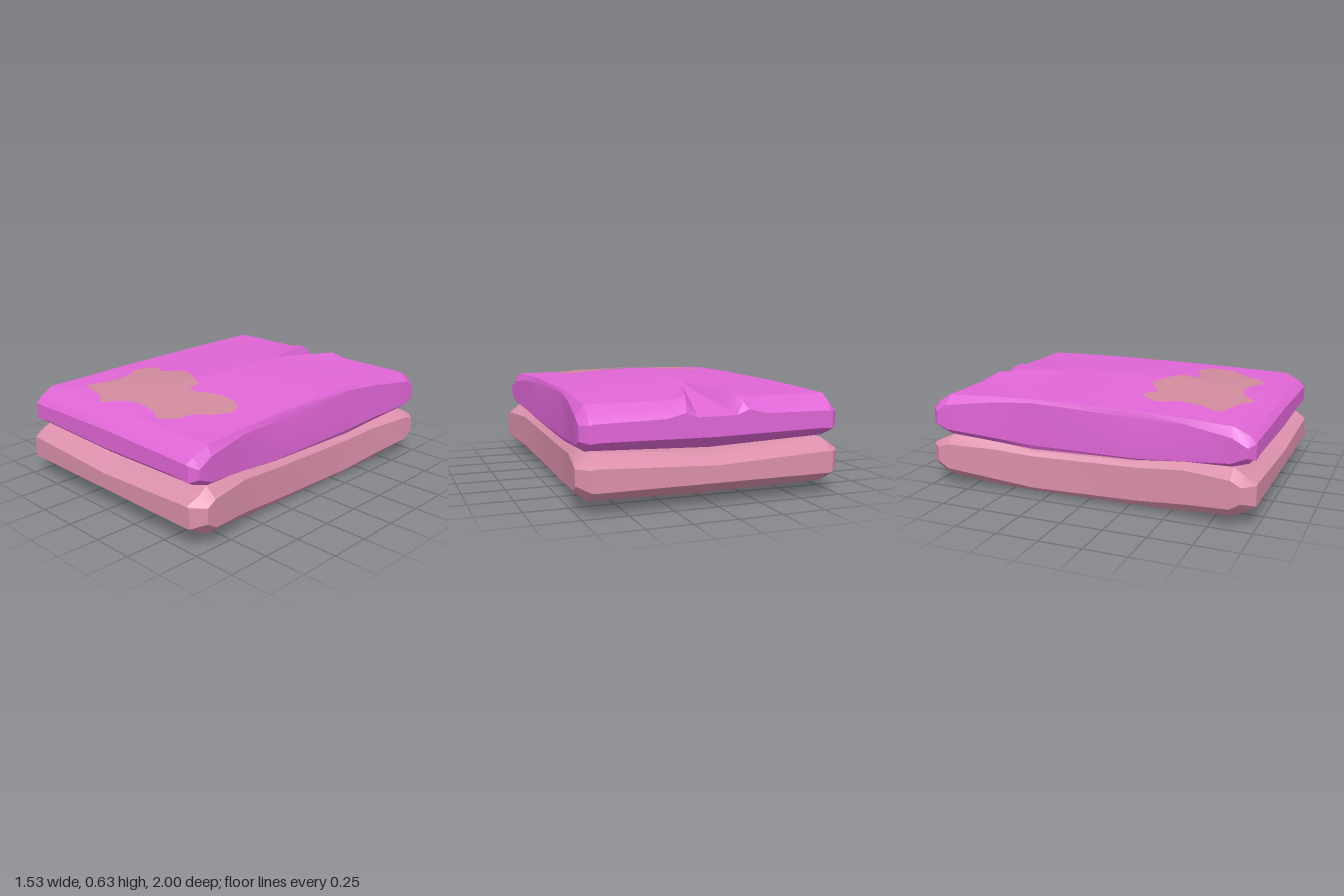
import * as THREE from 'three';
import { toCreasedNormals } from 'three/addons/utils/BufferGeometryUtils.js';

// stations: z, top centre, top edge, side top, side bottom, bottom edge, bottom centre, half width, edge x
const LOWER = [
  [1, .225, .255, .25, .135, .13, .13, .70, .68],
  [.93, .26, .30, .25, .16, .09, .08, .765, .70],
  [.87, .285, .335, .28, .12, .06, .05, .76, .69],
  [.6, .27, .32, .285, .09, .04, .03, .71, .67],
  [.3, .25, .285, .255, .06, .025, .005, .685, .66],
  [-.34, .235, .265, .24, .045, .02, 0, .685, .66],
  [-.58, .26, .30, .26, .075, .03, .02, .71, .67],
  [-.87, .275, .315, .27, .12, .06, .05, .76, .69],
  [-.93, .26, .29, .25, .16, .09, .08, .765, .70],
  [-1, .225, .255, .25, .135, .13, .13, .70, .68],
];
const UPPER = [
  [.985, .485, .475, .47, .38, .39, .375, .68, .66],
  [.95, .52, .51, .455, .40, .36, .345, .725, .68],
  [.86, .56, .555, .50, .36, .335, .31, .72, .69],
  [.6, .592, .565, .535, .33, .325, .295, .69, .675],
  [.3, .625, .575, .54, .305, .295, .28, .68, .668],
  [-.34, .62, .58, .56, .305, .28, .27, .68, .668],
  [-.58, .602, .575, .545, .33, .30, .28, .705, .68],
  [-.87, .57, .565, .51, .36, .325, .30, .745, .70],
  [-.94, .53, .52, .47, .39, .355, .34, .745, .70],
  [-.985, .49, .48, .475, .38, .385, .375, .70, .68],
];

function stationAt(rows, z) {
  let i = 0;
  while (i < rows.length - 2 && z < rows[i + 1][0]) i++;
  const a = rows[i], b = rows[i + 1];
  const t = (a[0] - z) / (a[0] - b[0]);
  return a.map((v, k) => v + (b[k] - v) * t);
}
function topY(s, x) {
  return s[1] + (s[2] - s[1]) * Math.abs(x) / s[8];
}

// Lofts a padded slab; a notched one gets a wedge-shaped dent with lifted lips at the back
function slab(rows, notched) {
  const zs = rows.map(r => r[0]);
  if (notched) zs.push(-.46, -.7, -.8);
  zs.sort((a, b) => b - a);
  const pos = [], idx = [];
  let n = 0;
  for (const z of zs) {
    const s = stationAt(rows, z);
    const [, , , sideTop, sideBot, botE, botC, hw, e] = s;
    const t = notched ? Math.max(0, (-z - .46) / .525) : 0;
    const w = Math.max(.012, .18 * t);
    const cols = [e, w + Math.max(.012, .11 * t), w, w * .62, 0];
    const floor = Math.min(s[1], .605 - .12 * t);
    const height = k => {
      const y = topY(s, cols[k]);
      if (t === 0 || k < 2) return y;
      return k === 2 ? y + .025 * t : floor;
    };
    const ring = [[hw, sideBot], [hw, sideTop]];
    for (let k = 0; k < 5; k++) ring.push([cols[k], height(k)]);
    for (let k = 3; k >= 0; k--) ring.push([-cols[k], height(k)]);
    ring.push([-hw, sideTop], [-hw, sideBot], [-e, botE], [0, botC], [e, botE]);
    n = ring.length;
    for (const [x, y] of ring) pos.push(x, y, z);
  }
  for (let i = 0; i < zs.length - 1; i++) {
    for (let j = 0; j < n; j++) {
      const a = i * n + j, b = i * n + (j + 1) % n;
      idx.push(a, a + n, b, b, a + n, b + n);
    }
  }
  // end caps
  for (const end of [0, zs.length - 1]) {
    const s = stationAt(rows, zs[end]), c = pos.length / 3;
    pos.push(0, (s[3] + s[4]) / 2, zs[end]);
    for (let j = 0; j < n; j++) {
      const a = end * n + j, b = end * n + (j + 1) % n;
      if (end === 0) idx.push(c, a, b);
      else idx.push(c, b, a);
    }
  }
  return finish(pos, idx, .36);
}

function finish(pos, idx, crease) {
  const g = new THREE.BufferGeometry();
  g.setAttribute('position', new THREE.Float32BufferAttribute(pos, 3));
  g.setIndex(idx);
  g.computeVertexNormals();
  return toCreasedNormals(g, crease);
}

// Irregular blotch draped just above the top surface
function blotch() {
  const outline = [
    [-.17, .22], [-.09, .25], [.01, .31], [.09, .345], [.07, .40], [.13, .43], [.22, .39], [.33, .36],
    [.44, .39], [.495, .47], [.46, .57], [.36, .66], [.33, .75], [.25, .805], [.16, .765],
    [0, .745], [-.12, .78], [-.2, .855], [-.28, .80], [-.4, .765], [-.5, .73], [-.45, .62],
    [-.435, .47], [-.49, .36], [-.39, .245], [-.345, .315], [-.26, .27],
  ].map(([x, z]) => new THREE.Vector3(x, 0, z));
  const pts = new THREE.CatmullRomCurve3(outline, true).getPoints(108).slice(0, -1);
  const n = pts.length, rings = 8, c = [-.02, .58], pos = [], idx = [];
  for (let r = 0; r <= rings; r++) {
    for (const p of pts) {
      const x = c[0] + (p.x - c[0]) * r / rings, z = c[1] + (p.z - c[1]) * r / rings;
      pos.push(x, topY(stationAt(UPPER, z), x) + .008, z);
    }
  }
  for (let r = 0; r < rings; r++) {
    for (let j = 0; j < n; j++) {
      const a = r * n + j, b = r * n + (j + 1) % n;
      if (r > 0) idx.push(a, b, a + n);
      idx.push(b, b + n, a + n);
    }
  }
  return finish(pos, idx, .36);
}

export function createModel() {
  const group = new THREE.Group();
  const add = (name, geometry, color) => {
    const mesh = new THREE.Mesh(geometry, new THREE.MeshStandardMaterial({ color }));
    mesh.name = name;
    group.add(mesh);
  };
  add('lowerSlab', slab(LOWER, false), 0xdc90ac);
  add('upperSlab', slab(UPPER, true), 0xe066d6);
  add('topPatch', blotch(), 0xd08a9c);
  return group;
}
